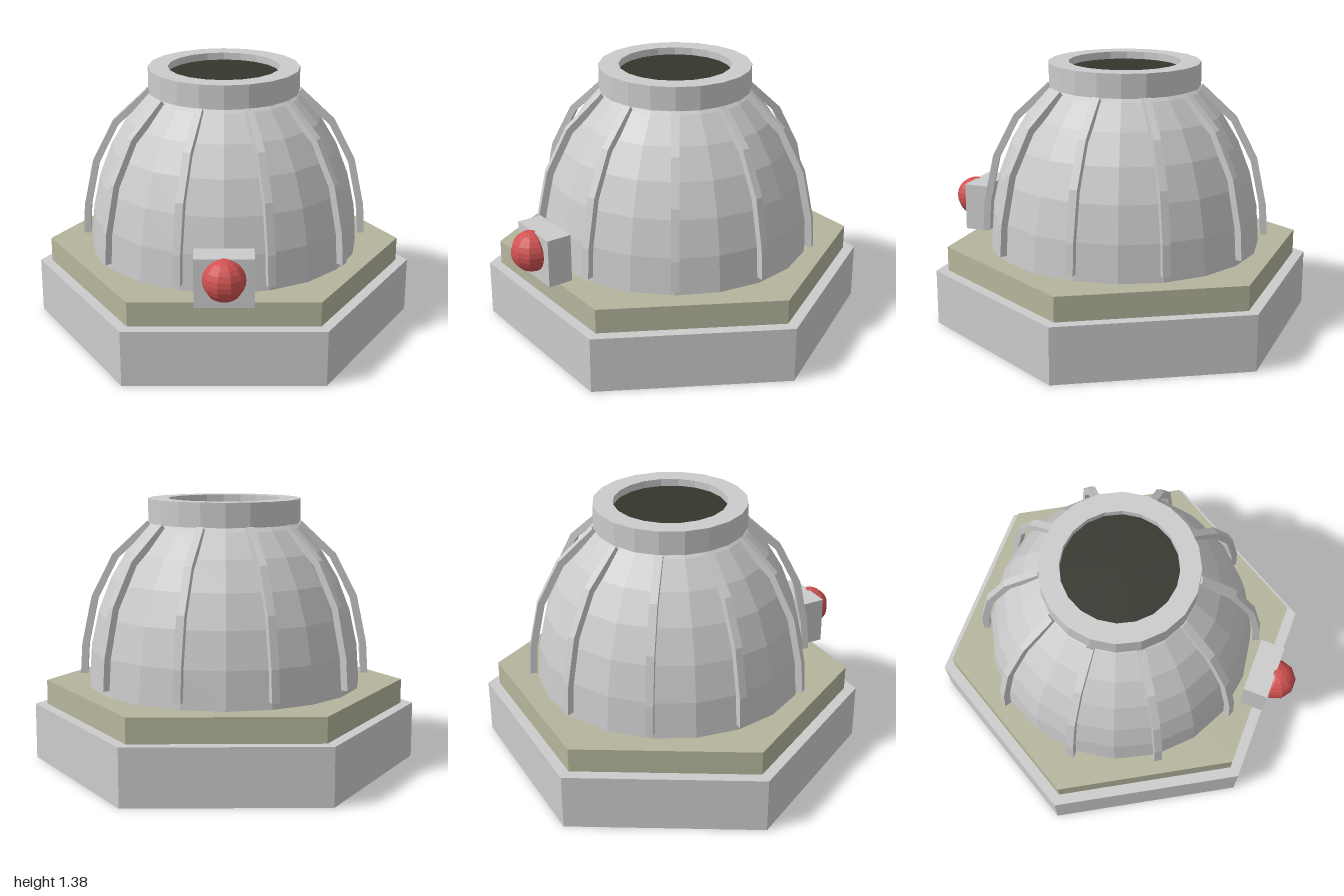
import * as THREE from 'three';

const CZ = -0.06; // z of the dome and base axis
const SIDES = 20;

function material(color = 0xcccccc, side = THREE.FrontSide) {
  return new THREE.MeshStandardMaterial({ color, flatShading: true, side });
}

export function createModel() {
  const group = new THREE.Group();
  const grey = material();
  const open = material(0xcccccc, THREE.DoubleSide);

  const add = (name, geometry, mat, x, y, z) => {
    const mesh = new THREE.Mesh(geometry, mat);
    mesh.name = name;
    mesh.position.set(x, y, z);
    group.add(mesh);
    return mesh;
  };
  const lathe = (pts) =>
    new THREE.LatheGeometry(pts.map(([r, y]) => new THREE.Vector2(r, y)), SIDES, Math.PI / 2);

  // Two stacked hexagonal plinths, corners on the x axis
  const hexagon = (r, h) => new THREE.CylinderGeometry(r, r, h, 6, 1, false, Math.PI / 2);
  add('base', hexagon(1, 0.292), grey, 0, 0.146, CZ);
  add('plinth', hexagon(0.937, 0.128), material(0xb5b59d), 0, 0.356, CZ);

  // Faceted dome, a stretched hemisphere cut off inside the collar
  const dome = [];
  for (let i = 0; i <= 5; i++) {
    const a = (i * Math.PI) / 16;
    dome.push([0.71 * Math.cos(a), 0.42 + 0.98 * Math.sin(a)]);
  }
  dome.push([0.31, 1.3]);
  add('dome', lathe(dome), open, 0, 0, CZ);

  // Collar ring with a dark recessed opening
  add('collar', lathe([[0.29, 1.255], [0.393, 1.255], [0.393, 1.378], [0.29, 1.378], [0.29, 1.255]]),
    open, 0, 0, CZ);
  add('opening', new THREE.CylinderGeometry(0.29, 0.29, 0.03, SIDES), material(0x35352d), 0, 1.325, CZ);

  // Ten bent ribs standing just off the dome
  const outer = [[0.755, 0.46], [0.745, 0.62], [0.692, 0.87], [0.58, 1.09], [0.4, 1.26]];
  const inner = [[0.375, 1.232], [0.552, 1.067], [0.658, 0.857], [0.709, 0.617], [0.719, 0.46]];
  const profile = new THREE.Shape([...outer, ...inner].map(([x, y]) => new THREE.Vector2(x, y)));
  const ribGeometry = new THREE.ExtrudeGeometry(profile, { depth: 0.04, bevelEnabled: false });
  ribGeometry.translate(0, 0, -0.02);
  for (let i = 0; i < 10; i++) {
    add('rib', ribGeometry, grey, 0, 0, CZ).rotation.y = (i * Math.PI) / 5;
  }

  // Lamp on a small block in front of the dome
  add('lampBlock', new THREE.BoxGeometry(0.29, 0.25, 0.13), grey, 0, 0.545, 0.745);
  add('lamp', new THREE.SphereGeometry(0.105, 10, 12), material(0xd05252), 0, 0.568, 0.82);

  return group;
}
